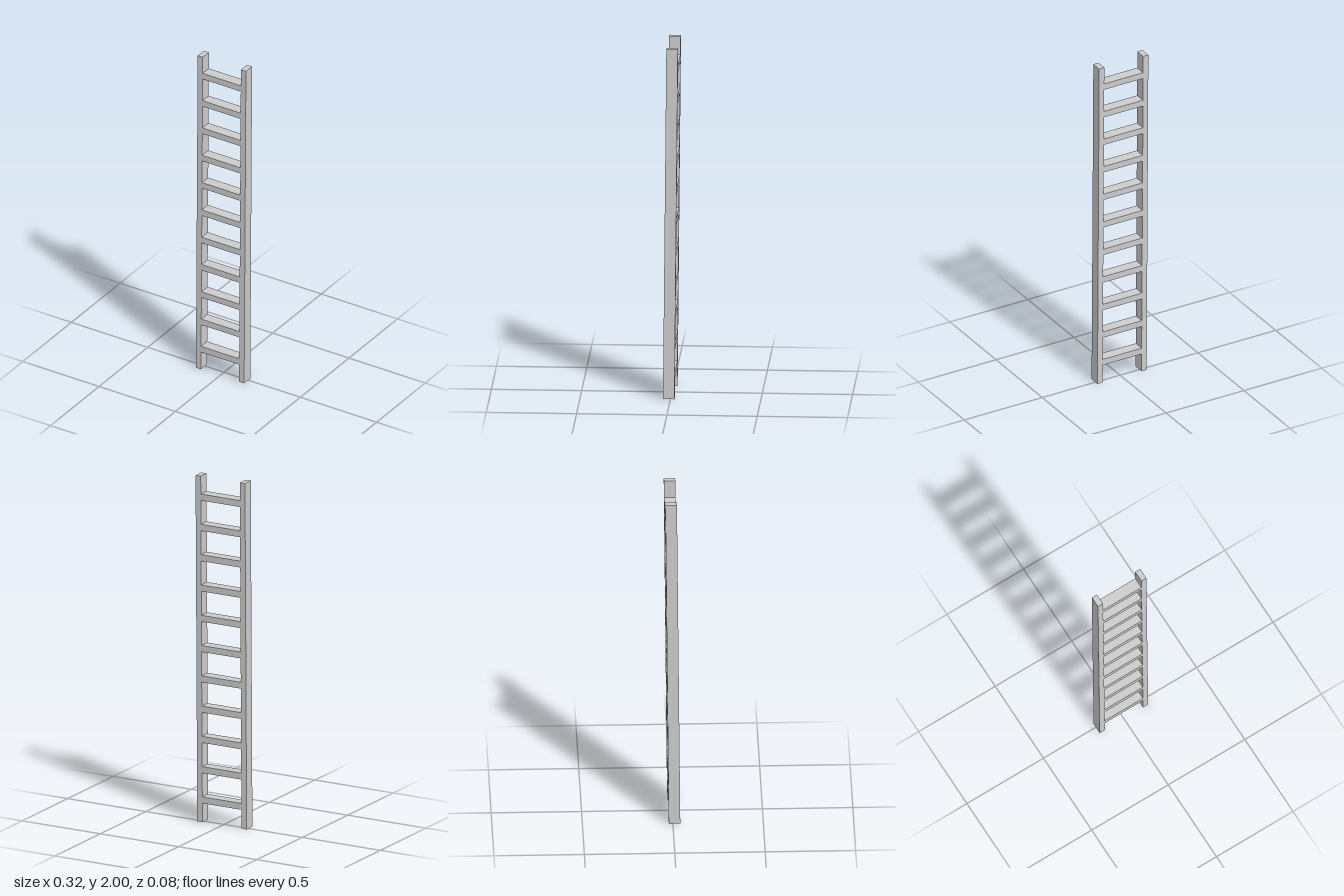
import * as THREE from 'three';

export function createModel() {
  const model = new THREE.Group();
  model.name = 'ladder';
  const material = new THREE.MeshStandardMaterial({ color: 0xcccccc, flatShading: true });
  const length = 1.9994, depth = 0.0635;
  const railWidth = 0.033, innerHalf = 0.125;

  // Whole frame leans slightly backwards about its middle
  const frame = new THREE.Group();
  frame.name = 'leaningFrame';
  frame.position.y = 1;
  frame.rotation.x = -0.0093;
  model.add(frame);

  const addBox = (name, w, h, x, y) => {
    const mesh = new THREE.Mesh(new THREE.BoxGeometry(w, h, depth), material);
    mesh.name = name;
    mesh.position.set(x, y, 0);
    frame.add(mesh);
  };

  // Side rails
  for (const [name, side] of [['leftRail', 1], ['rightRail', -1]]) {
    addBox(name, railWidth, length, side * (innerHalf + railWidth / 2), 0);
  }

  // Evenly spaced flat rungs, flush with the rails
  const rungs = 11, spacing = 0.175, firstRung = -0.872;
  for (let i = 0; i < rungs; i++) {
    addBox(`rung${i + 1}`, innerHalf * 2, 0.037, 0, firstRung + i * spacing);
  }
  return model;
}
